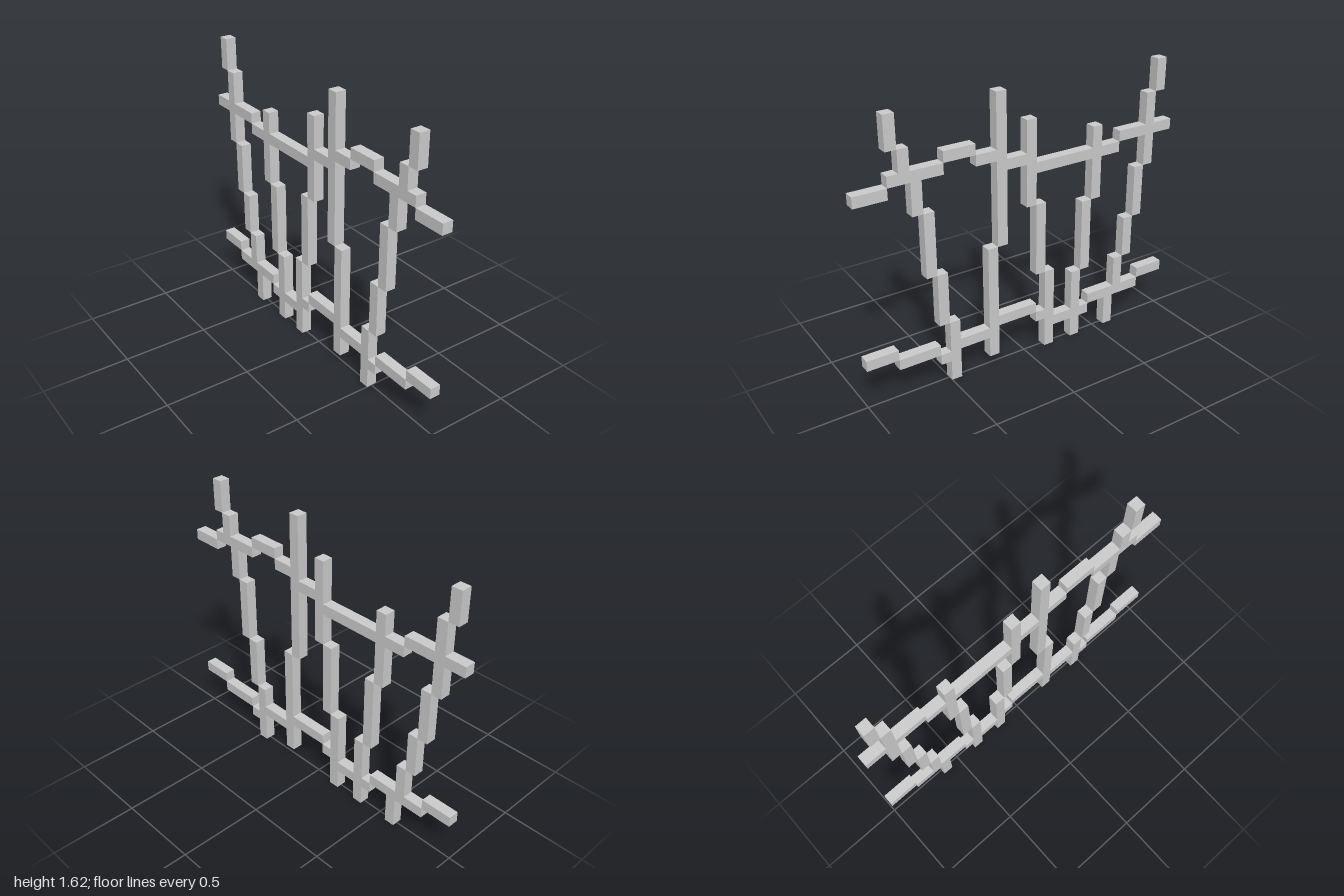
import * as THREE from 'three';

const U = 1 / 16; // one block

// Upright branches as stepped runs: [column, bottom row, top row]
const posts = {
  outerRightPost: [[1, 23, 26], [2, 16, 23], [3, 11, 16], [4, 7, 11], [5, 3, 7], [6, 0, 3]],
  innerRightPost: [[8, 14, 21], [9, 7, 14], [10, 0, 7]],
  middlePost: [[15, 15, 23], [14, 8, 15], [13, 0, 8]],
  innerLeftPost: [[18, 12, 26], [19, 1, 12]],
  outerLeftPost: [[28, 23, 26], [27, 20, 23], [26, 17, 20], [25, 11, 17], [24, 6, 11], [23, 0, 6]],
};

// Cross branches as stepped runs: [row, first column, end column]
const rails = {
  upperRail: [[19, 0, 6], [18, 6, 16], [19, 16, 19], [20, 19, 21], [21, 21, 24], [20, 24, 29], [19, 29, 32]],
  lowerRail: [[4, 0, 3], [3, 3, 9], [2, 9, 14], [3, 14, 15], [4, 15, 19], [3, 19, 24], [2, 24, 25], [3, 25, 29], [4, 29, 32]],
};

export function createModel() {
  const model = new THREE.Group();
  model.name = 'stickFence';
  const material = new THREE.MeshStandardMaterial({ color: 0xcccccc, flatShading: true });

  // Box spanning whole blocks, columns x0..x1 and rows y0..y1
  const addBar = (group, name, x0, x1, y0, y1) => {
    const bar = new THREE.Mesh(new THREE.BoxGeometry((x1 - x0) * U, (y1 - y0) * U, U), material);
    bar.position.set(((x0 + x1) / 2) * U - 1, ((y0 + y1) / 2) * U, 0);
    bar.name = name;
    group.add(bar);
  };
  const addGroup = (name) => {
    const group = new THREE.Group();
    group.name = name;
    model.add(group);
    return group;
  };

  // Posts
  for (const [name, runs] of Object.entries(posts)) {
    const group = addGroup(name);
    for (const [col, y0, y1] of runs) addBar(group, 'postSegment', col, col + 1, y0, y1);
  }

  // Rails, interrupted where a post passes through
  const allRuns = Object.values(posts).flat();
  const hasPost = (col, row) => allRuns.some(([c, y0, y1]) => c === col && row >= y0 && row < y1);
  for (const [name, runs] of Object.entries(rails)) {
    const group = addGroup(name);
    for (const [row, first, end] of runs) {
      let start = first;
      for (let col = first; col <= end; col++) {
        if (col < end && !hasPost(col, row)) continue;
        if (col > start) addBar(group, 'railSegment', start, col, row, row + 1);
        start = col + 1;
      }
    }
  }
  return model;
}
